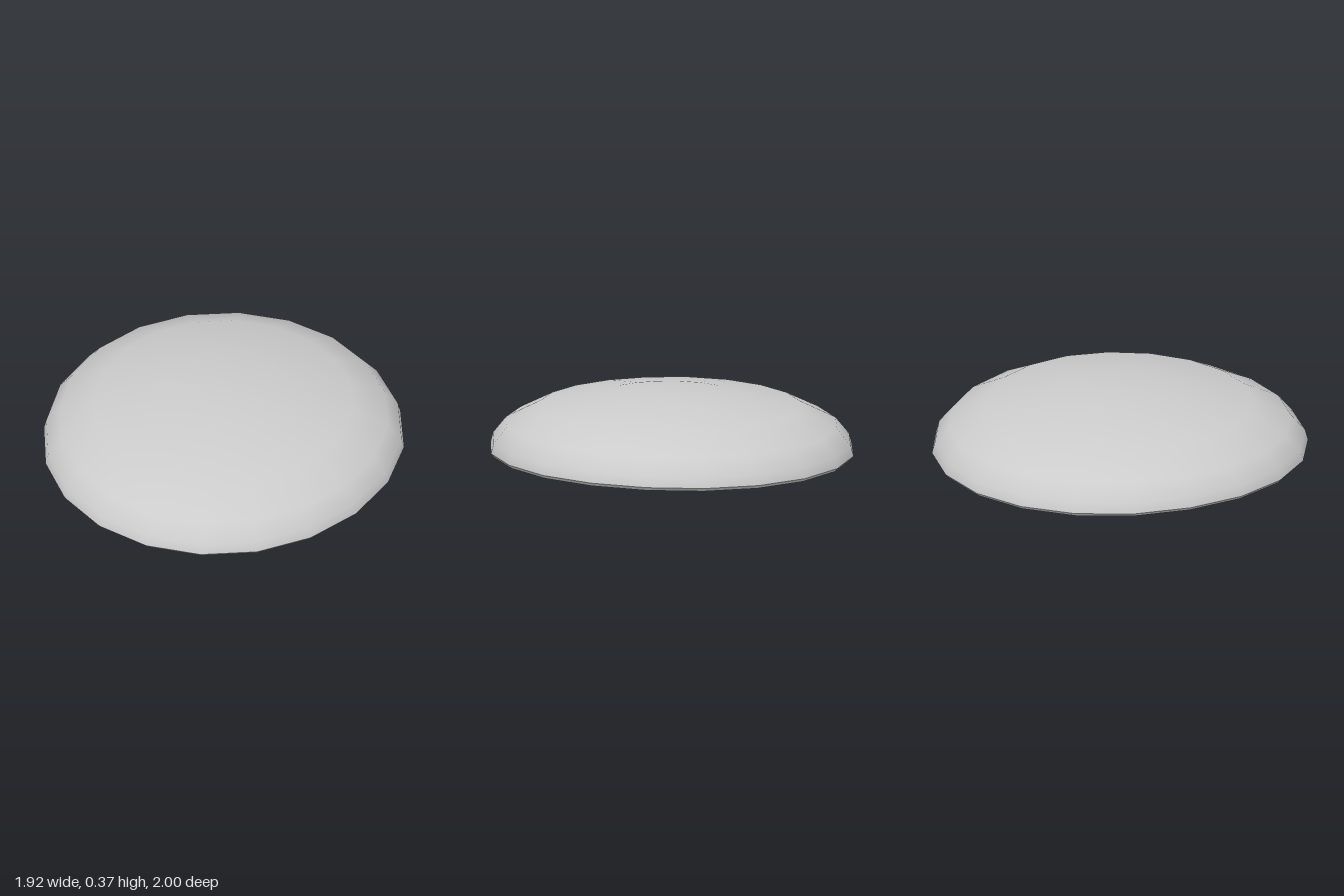
import * as THREE from 'three';
import { mergeVertices } from 'three/addons/utils/BufferGeometryUtils.js';

const SIDES = 20;
const material = new THREE.MeshStandardMaterial({ color: 0xcccccc, side: THREE.DoubleSide });

// Lathe a profile of [radius, height], then bend it into a slightly uneven oval.
function turned(name, profile) {
  const points = profile.map(([r, y]) => new THREE.Vector2(r, y));
  let geometry = new THREE.LatheGeometry(points, SIDES, THREE.MathUtils.degToRad(-2.1));
  geometry.deleteAttribute('uv');
  geometry.deleteAttribute('normal');
  const p = geometry.attributes.position;
  for (let i = 0; i < p.count; i++) {
    const x = p.getX(i), z = p.getZ(i);
    p.setX(i, 0.96 * x - 0.04 * Math.max(0, z) * Math.hypot(x, z));
    p.setY(i, p.getY(i) + 0.014 * x * x);
  }
  geometry = mergeVertices(geometry, 1e-5);
  geometry.computeVertexNormals();
  const mesh = new THREE.Mesh(geometry, material);
  mesh.name = name;
  return mesh;
}

export function createModel() {
  const group = new THREE.Group();
  group.name = 'mushroomCap';
  group.add(
    // Domed top
    turned('capTop', [
      [1, 0.055], [0.985, 0.11], [0.91, 0.2], [0.715, 0.297],
      [0.37, 0.352], [0.15, 0.369], [0, 0.371],
    ]),
    // Thin bevelled lip
    turned('capRim', [[0.985, 0.037], [1, 0.055]]),
    // Hollow underside flowing into the short flared stem
    turned('undersideAndStem', [
      [0.175, 0], [0.19, 0.025], [0.22, 0.055], [0.28, 0.105], [0.38, 0.145],
      [0.58, 0.15], [0.8, 0.11], [0.985, 0.037],
    ]),
    // Flat cut end of the stem
    turned('stemEnd', [[0, 0], [0.175, 0]]),
  );
  return group;
}
